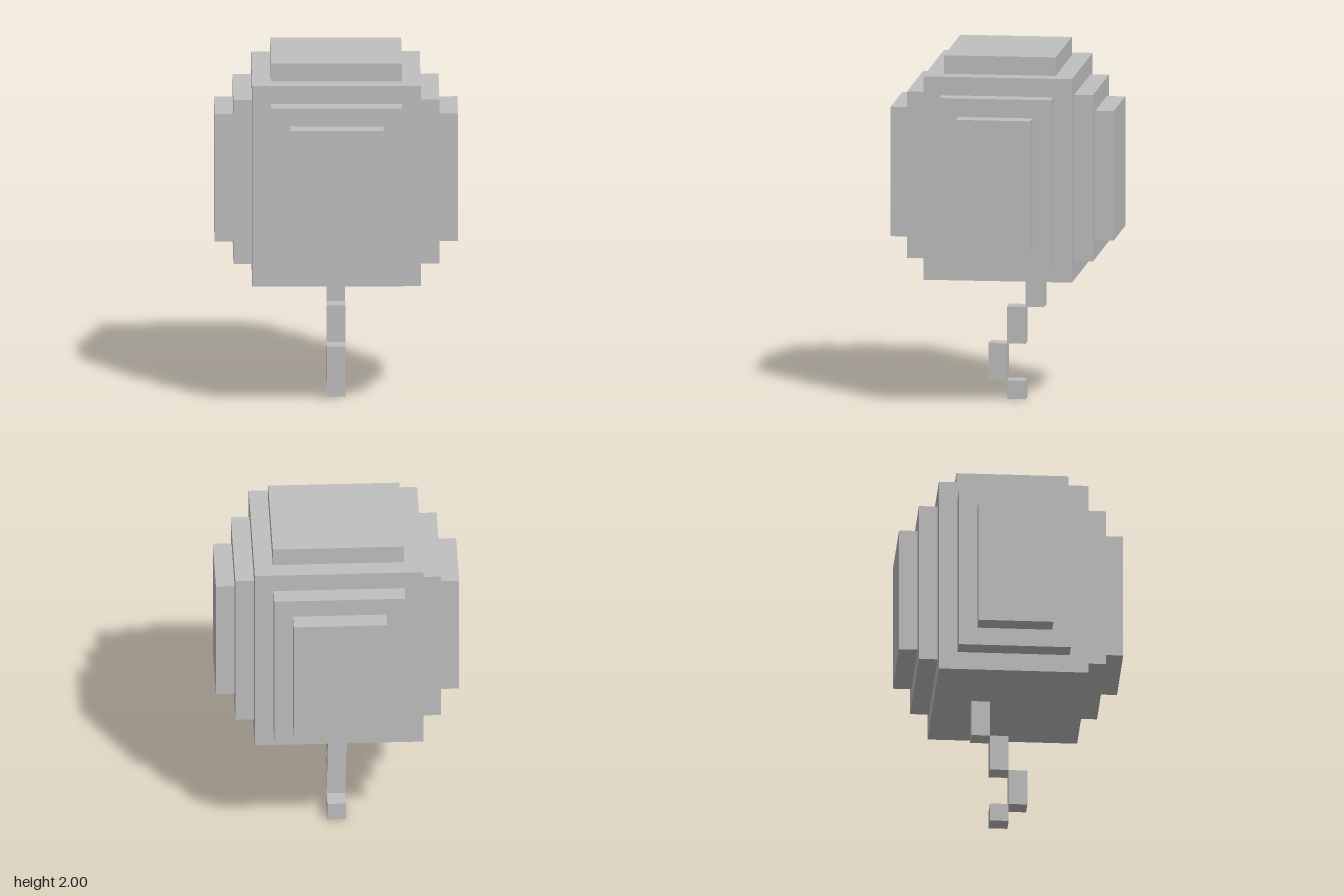
import * as THREE from 'three';

// One block unit: the balloon and its string are 19 units tall
const U = 2 / 19;

export function createModel() {
  const model = new THREE.Group();
  model.name = 'balloon';
  const grey = new THREE.MeshStandardMaterial({ color: 0xbfbfbf });
  grey.name = 'light grey';

  // Box from its minimum and maximum corners, in block units
  function block(name, min, max, parent) {
    const size = max.map((v, i) => (v - min[i]) * U);
    const mesh = new THREE.Mesh(new THREE.BoxGeometry(...size), grey);
    mesh.position.set(...max.map((v, i) => ((v + min[i]) / 2) * U));
    mesh.name = name;
    parent.add(mesh);
  }

  // Balloon body and crown
  const body = new THREE.Group();
  body.name = 'balloonBody';
  model.add(body);
  block('core', [-4.5, 7, -4], [4.5, 18, 4], body);
  block('crown', [-3.5, 18, -3], [3.5, 19, 3], body);

  // Two stepped plates on each of the four sides
  for (let step = 0; step < 2; step++) {
    const layer = step === 0 ? 'Inner' : 'Outer';
    const y0 = 8 + step, y1 = 17 - step;
    const halfX = 3.5 - step, halfZ = 3 - step;
    const x = 4.5 + step, z = 4 + step;
    block('left' + layer + 'Plate', [x, y0, -halfZ], [x + 1, y1, halfZ], body);
    block('right' + layer + 'Plate', [-x - 1, y0, -halfZ], [-x, y1, halfZ], body);
    block('front' + layer + 'Plate', [-halfX, y0, z], [halfX, y1, z + 1], body);
    block('back' + layer + 'Plate', [-halfX, y0, -z - 1], [halfX, y1, -z], body);
  }

  // Zigzag string: bottom, top and rear face of each segment
  const string = new THREE.Group();
  string.name = 'string';
  model.add(string);
  [[0, 1, -1], [1, 3, 0], [3, 5, -1], [5, 7, -2]].forEach(([y0, y1, z], i) => {
    block('stringSegment' + (i + 1), [-0.5, y0, z], [0.5, y1, z + 1], string);
  });

  return model;
}
